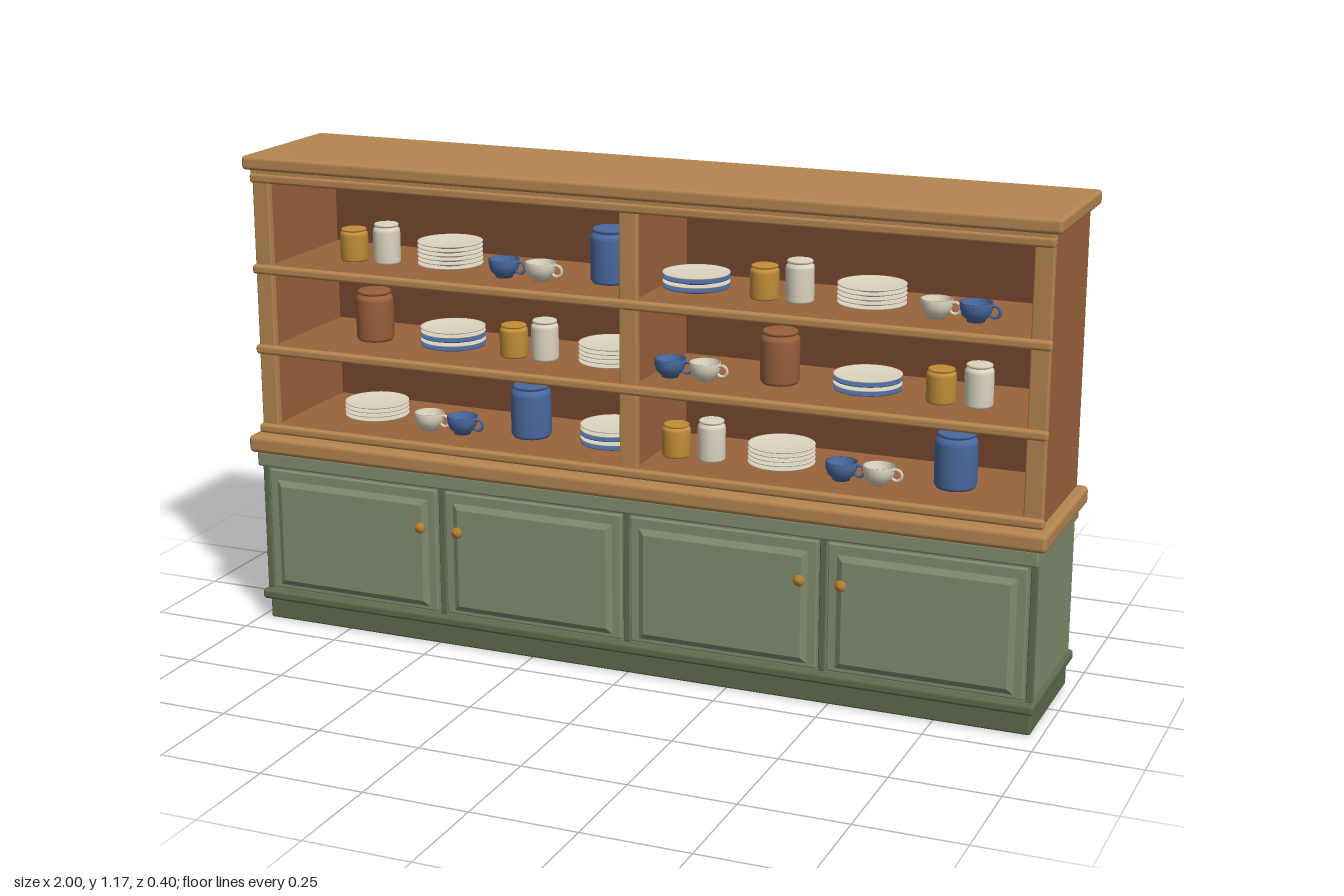
import * as THREE from 'three';
import { RoundedBoxGeometry } from 'three/addons/geometries/RoundedBoxGeometry.js';

const paint = (name, color) => {
  const m = new THREE.MeshStandardMaterial({ color });
  m.name = name;
  return m;
};

export function createModel() {
  const root = new THREE.Group();
  root.name = 'kitchenDresser';
  const oak = paint('lightOak', 0xb58550);
  const wood = paint('warmWood', 0x9b633c);
  const backWood = paint('darkBackWood', 0x74462e);
  const green = paint('sageGreen', 0x818d6f);
  const darkGreen = paint('darkGreen', 0x5f6b4d);
  const blue = paint('blueGlaze', 0x4a69a0);
  const cream = paint('creamGlaze', 0xddd5c0);
  const mustard = paint('mustardGlaze', 0xc38d38);
  const clay = paint('terracotta', 0x9a5f3c);
  const brass = paint('brass', 0xb87f35);

  const add = (parent, name, geo, mat, x = 0, y = 0, z = 0) => {
    const m = new THREE.Mesh(geo, mat);
    m.name = name;
    m.position.set(x, y, z);
    parent.add(m);
    return m;
  };
  // Soft-edged board given by its limits on each axis
  const board = (parent, name, mat, x0, x1, y0, y1, z0, z1, r = 0.005) => {
    const w = x1 - x0, h = y1 - y0, d = z1 - z0;
    const geo = new RoundedBoxGeometry(w, h, d, 2, Math.min(r, w * 0.4, h * 0.4, d * 0.4));
    return add(parent, name, geo, mat, (x0 + x1) / 2, (y0 + y1) / 2, (z0 + z1) / 2);
  };

  // Base cabinet
  const base = new THREE.Group();
  base.name = 'baseCabinet';
  root.add(base);
  board(base, 'plinth', darkGreen, -0.975, 0.975, 0, 0.058, -0.167, 0.168);
  board(base, 'baseMoulding', darkGreen, -0.985, 0.985, 0.055, 0.08, -0.19, 0.19, 0.008);
  board(base, 'carcass', green, -0.975, 0.975, 0.075, 0.41, -0.185, 0.168);
  board(base, 'frieze', green, -0.982, 0.982, 0.403, 0.44, -0.19, 0.19);
  board(base, 'counter', oak, -1, 1, 0.438, 0.482, -0.2, 0.2, 0.012);

  // Stiles between the doors
  for (const x of [-0.97, -0.484, 0, 0.484, 0.97])
    board(base, 'doorStile', darkGreen, x - 0.008, x + 0.008, 0.08, 0.405, 0.16, 0.172, 0.003);

  // Doors with a raised bevelled panel and a knob
  const knob = new THREE.LatheGeometry([[0, 0], [0.006, 0], [0.006, 0.008], [0.012, 0.012],
    [0.014, 0.018], [0.011, 0.025], [0, 0.028]].map(p => new THREE.Vector2(...p)), 20);
  knob.rotateX(Math.PI / 2);
  const panelShape = new THREE.Shape();
  panelShape.moveTo(-0.194, -0.122).lineTo(0.194, -0.122).lineTo(0.194, 0.122).lineTo(-0.194, 0.122).closePath();
  const panel = new THREE.ExtrudeGeometry(panelShape, {
    depth: 0.002, bevelEnabled: true, bevelThickness: 0.008, bevelSize: 0.014, bevelSegments: 1,
  });
  for (const [x, k] of [[-0.727, -0.533], [-0.242, -0.434], [0.242, 0.434], [0.727, 0.533]]) {
    const door = new THREE.Group();
    door.name = 'door';
    base.add(door);
    board(door, 'doorLeaf', green, x - 0.23, x + 0.23, 0.085, 0.393, 0.16, 0.176, 0.004);
    add(door, 'doorPanel', panel, green, x, 0.232, 0.175);
    add(door, 'doorKnob', knob, brass, k, 0.3, 0.174);
  }

  // Upper rack
  const rack = new THREE.Group();
  rack.name = 'plateRack';
  root.add(rack);
  board(rack, 'backPanel', backWood, -0.96, 0.96, 0.48, 1.13, -0.178, -0.166, 0.001);
  for (const s of [-1, 1]) {
    const x0 = Math.min(s * 0.975, s * 0.94), x1 = Math.max(s * 0.975, s * 0.94);
    board(rack, 'sidePanel', wood, x0, x1, 0.48, 1.128, -0.186, 0.145, 0.003);
    board(rack, 'frontStile', oak, Math.min(s * 0.98, s * 0.936), Math.max(s * 0.98, s * 0.936),
      0.48, 1.128, 0.14, 0.16, 0.004);
  }
  board(rack, 'centreDivider', wood, -0.014, 0.014, 0.48, 1.128, -0.185, 0.145, 0.003);
  board(rack, 'centreStile', oak, -0.022, 0.022, 0.48, 1.128, 0.14, 0.16, 0.004);

  // Shelves, each with a rounded oak lip
  const shelfTops = [0.505, 0.705, 0.905];
  for (const y of shelfTops) {
    board(rack, 'shelf', wood, -0.945, 0.945, y - 0.02, y, -0.168, 0.155, 0.003);
    board(rack, 'shelfLip', oak, -0.985, 0.985, y - 0.022, y + 0.001, 0.152, 0.171, 0.008);
  }

  // Cornice
  board(rack, 'topRail', oak, -0.982, 0.982, 1.107, 1.13, 0.14, 0.171, 0.007);
  board(rack, 'corniceBed', oak, -0.98, 0.98, 1.125, 1.145, -0.188, 0.167, 0.004);
  board(rack, 'cornice', oak, -0.998, 0.998, 1.138, 1.172, -0.196, 0.178, 0.009);

  // Crockery
  const crockery = new THREE.Group();
  crockery.name = 'crockery';
  root.add(crockery);
  const lathe = (pts, n = 28) => new THREE.LatheGeometry(pts.map(p => new THREE.Vector2(...p)), n);

  // Closed pot: body, shoulder, neck and flat lid
  const pot = (r, h) => lathe([[0, 0], [r * 0.9, 0], [r, h * 0.06], [r, h * 0.8], [r * 0.96, h * 0.87],
    [r * 0.8, h * 0.91], [r * 0.8, h * 0.93], [r * 0.9, h * 0.94], [r * 0.9, h * 0.98], [r * 0.82, h], [0, h]]);
  const pots = {
    mustardJar: [pot(0.034, 0.079), mustard, 0.02],
    creamJar: [pot(0.033, 0.098), cream, 0.02],
    blueCanister: [pot(0.049, 0.13), blue, 0],
    clayCrock: [pot(0.046, 0.125), clay, 0],
  };

  const plate = lathe([[0, 0], [0.045, 0], [0.052, 0.003], [0.078, 0.009], [0.079, 0.012],
    [0.074, 0.012], [0.05, 0.008], [0, 0.008]], 32);
  const plates = (x, y, count, blueBase) => {
    const stack = new THREE.Group();
    stack.name = 'plateStack';
    for (let i = 0; i < count; i++)
      add(stack, 'plate', plate, blueBase && i % 2 === 0 && i < count - 1 ? blue : cream, 0, i * 0.0105, 0);
    stack.position.set(x, y, 0);
    crockery.add(stack);
  };

  const cupBody = lathe([[0, 0], [0.02, 0], [0.021, 0.005], [0.031, 0.014], [0.036, 0.028], [0.037, 0.044],
    [0.034, 0.044], [0.032, 0.028], [0.02, 0.01], [0, 0.009]]);
  const cupHandle = new THREE.TorusGeometry(0.013, 0.0038, 8, 18);
  const cup = (x, y, mat) => {
    const g = new THREE.Group();
    g.name = 'cup';
    add(g, 'cupBody', cupBody, mat);
    add(g, 'cupHandle', cupHandle, mat, 0.042, 0.025, 0);
    g.position.set(x, y, 0.05);
    crockery.add(g);
  };

  // Contents of each shelf from the bottom: pots, stacks [x, count, blue], cups [x, glaze]
  const shelves = [
    { mustardJar: [0.064], creamJar: [0.153], blueCanister: [-0.323, 0.738],
      stacks: [[-0.747, 4, false], [-0.107, 5, true], [0.32, 5, false]],
      cups: [[-0.575, cream], [-0.485, blue], [0.483, blue], [0.572, cream]] },
    { mustardJar: [-0.357, 0.703], creamJar: [-0.275, 0.79], clayCrock: [-0.745, 0.313],
      stacks: [[-0.53, 5, true], [-0.11, 5, false], [0.525, 4, true]],
      cups: [[0.06, blue], [0.147, cream]] },
    { mustardJar: [-0.785, 0.28], creamJar: [-0.695, 0.365], blueCanister: [-0.11],
      stacks: [[-0.533, 6, false], [0.105, 4, true], [0.53, 5, false]],
      cups: [[-0.365, blue], [-0.27, cream], [0.695, cream], [0.785, blue]] },
  ];
  shelves.forEach((s, i) => {
    const y = shelfTops[i];
    for (const [name, [geo, mat, z]] of Object.entries(pots))
      for (const x of s[name] || []) add(crockery, name, geo, mat, x, y, z);
    for (const [x, n, b] of s.stacks) plates(x, y, n, b);
    for (const [x, mat] of s.cups) cup(x, y, mat);
  });
  return root;
}
